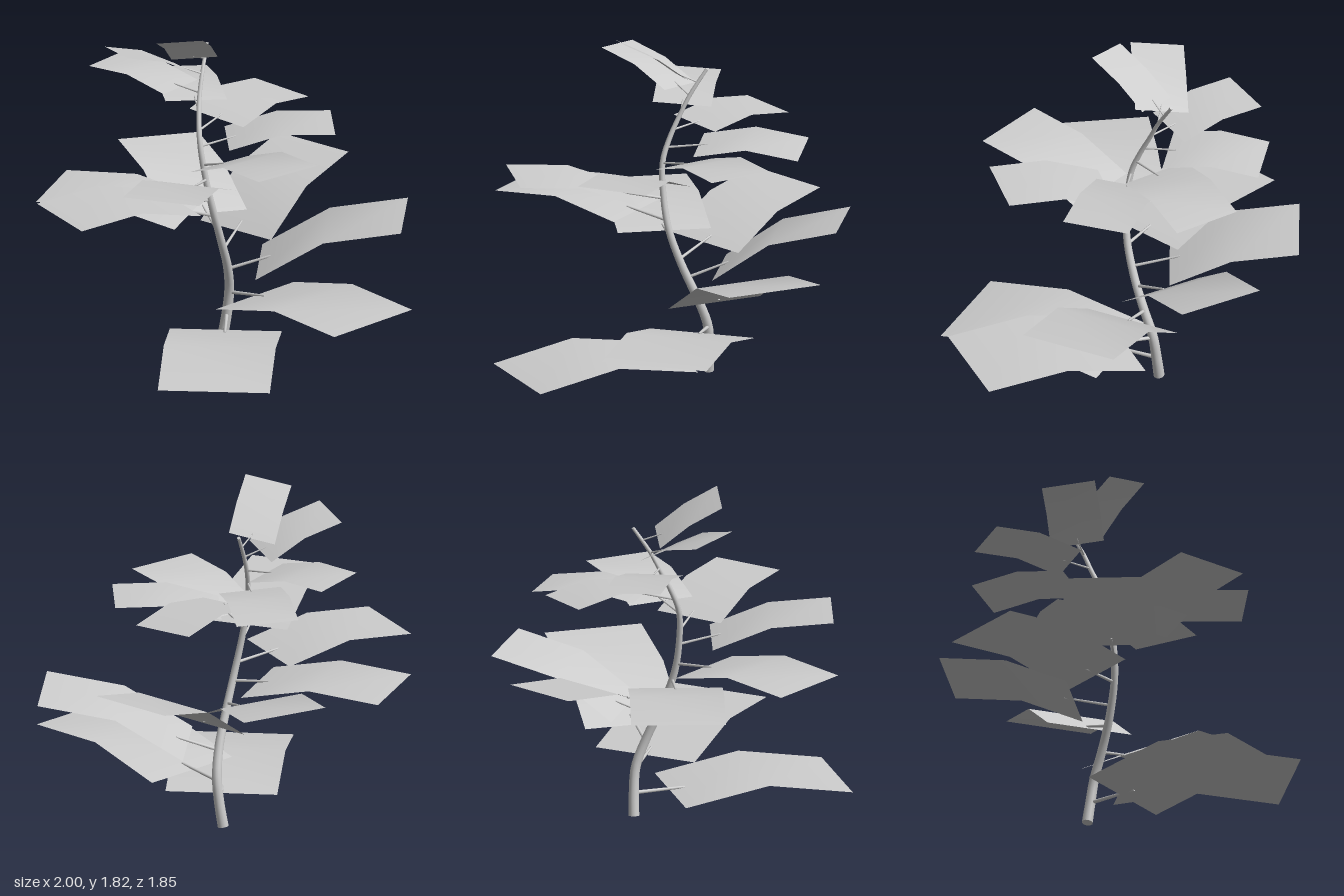
import * as THREE from 'three';

const grey = new THREE.MeshStandardMaterial({ color: 0xcccccc, side: THREE.DoubleSide });
grey.name = 'plant grey';

const V = (x, y, z) => new THREE.Vector3(x, y, z);

// Centre line of the stem, bottom to top
const stemCurve = new THREE.CatmullRomCurve3([
  V(-0.03, 0.01, -0.2), V(-0.01, 0.13, -0.195), V(0.005, 0.27, -0.18), V(0, 0.42, -0.125),
  V(-0.03, 0.6, -0.05), V(-0.07, 0.8, 0.01), V(-0.11, 1.0, 0.025), V(-0.135, 1.16, 0.015),
  V(-0.145, 1.28, -0.03), V(-0.145, 1.4, -0.09), V(-0.135, 1.5, -0.14), V(-0.115, 1.64, -0.23),
]);

// Point of the stem at a given height
function stemAt(y) {
  let lo = 0, hi = 1;
  for (let i = 0; i < 24; i++) {
    const mid = (lo + hi) / 2;
    if (stemCurve.getPoint(mid).y < y) lo = mid; else hi = mid;
  }
  return stemCurve.getPoint(lo);
}

// Tube whose radius shrinks from r0 to r1, with a flat cap at each end
function taperedTube(curve, segments, sides, r0, r1) {
  const geo = new THREE.TubeGeometry(curve, segments, 1, sides, false);
  const pos = geo.attributes.position, p = new THREE.Vector3();
  for (let i = 0; i <= segments; i++) {
    const c = curve.getPointAt(i / segments);
    for (let j = 0; j <= sides; j++) {
      const k = i * (sides + 1) + j;
      p.fromBufferAttribute(pos, k).sub(c).multiplyScalar(r0 + (r1 - r0) * i / segments).add(c);
      pos.setXYZ(k, p.x, p.y, p.z);
    }
  }
  const group = new THREE.Group();
  group.add(new THREE.Mesh(geo, grey));
  for (const [t, r, s] of [[0, r0, -1], [1, r1, 1]]) {
    const cap = new THREE.Mesh(new THREE.CircleGeometry(r, sides), grey);
    cap.position.copy(curve.getPointAt(t));
    cap.quaternion.setFromUnitVectors(V(0, 0, 1), curve.getTangentAt(t).multiplyScalar(s));
    group.add(cap);
  }
  return group;
}

// One leaf per row: heading in degrees, tip centre x and z, width,
// heights of base, bend and tip, sideways roll, height of its stalk on the stem
const leaves = [
  [90, 0, 0.92, 0.59, 0.118, 0.198, 0.118, 0, 0.13],
  [41.5, 0.81, 0.5, 0.574, 0.278, 0.386, 0.364, 0, 0.26],
  [0, 0.93, -0.145, 0.53, 0.445, 0.66, 0.727, 0, 0.41],
  [-56, 0.405, -0.78, 0.47, 0.588, 0.8, 0.885, 0, 0.54],
  [-116, -0.415, -0.83, 0.456, 0.685, 0.835, 0.88, -0.025, 0.64],
  [-165, -0.935, -0.22, 0.497, 0.755, 0.842, 0.815, 0, 0.755],
  [146, -0.84, 0.525, 0.47, 0.871, 0.955, 0.925, 0, 0.85],
  [104, -0.285, 0.81, 0.42, 0.995, 1.115, 1.138, 0, 0.965],
  [48, 0.365, 0.54, 0.39, 1.085, 1.195, 1.208, 0, 1.05],
  [-8, 0.555, -0.12, 0.363, 1.175, 1.255, 1.25, 0, 1.15],
  [-56, 0.25, -0.62, 0.36, 1.245, 1.295, 1.25, -0.02, 1.23],
  [-106, -0.31, -0.675, 0.33, 1.332, 1.372, 1.333, -0.015, 1.32],
  [-149, -0.66, -0.395, 0.31, 1.418, 1.478, 1.472, -0.015, 1.41],
  [150, -0.57, 0.08, 0.28, 1.53, 1.635, 1.69, -0.03, 1.5],
  [100, -0.23, 0.21, 0.25, 1.595, 1.715, 1.807, -0.04, 1.57],
];

// Blade of two equal panels that bends across its middle
function leafBlade(centres, side, width, roll) {
  const points = [], index = [];
  centres.forEach((c, i) => {
    for (const s of [-0.5, 0.5]) {
      points.push(c.x + side.x * width * s, c.y + roll * s, c.z + side.z * width * s);
    }
    if (i > 0) {
      const a = 2 * i - 2;
      index.push(a, a + 1, a + 2, a + 1, a + 3, a + 2);
    }
  });
  const geo = new THREE.BufferGeometry();
  geo.setAttribute('position', new THREE.Float32BufferAttribute(points, 3));
  geo.setIndex(index);
  geo.computeVertexNormals();
  return new THREE.Mesh(geo, grey);
}

export function createModel() {
  const plant = new THREE.Group();
  plant.name = 'plant';

  const stem = taperedTube(stemCurve, 44, 12, 0.029, 0.009);
  stem.name = 'stem';
  plant.add(stem);

  leaves.forEach(([deg, tx, tz, width, yBase, yBend, yTip, roll, yStalk], i) => {
    const a = deg * Math.PI / 180;
    const dir = V(Math.cos(a), 0, Math.sin(a));
    const side = V(-Math.sin(a), 0, Math.cos(a));
    const panel = width * 0.785;

    // Step back from the tip, keeping both panels the same length
    const run = dy => Math.sqrt(panel * panel - dy * dy);
    const tip = V(tx, yTip, tz);
    const bend = tip.clone().addScaledVector(dir, -run(yTip - yBend)).setY(yBend);
    const base = bend.clone().addScaledVector(dir, -run(yBend - yBase)).setY(yBase);

    const leaf = new THREE.Group();
    leaf.name = `leaf${i + 1}`;
    const blade = leafBlade([base, bend, tip], side, width, roll);
    blade.name = 'blade';

    // Stalk from the stem to just inside the base of the blade
    const end = base.clone().lerp(bend, 0.17);
    const size = width / 0.59;
    const stalk = taperedTube(new THREE.LineCurve3(stemAt(yStalk), end), 1, 8, 0.011 * size, 0.007 * size);
    stalk.name = 'stalk';
    leaf.add(blade, stalk);
    plant.add(leaf);
  });
  return plant;
}
